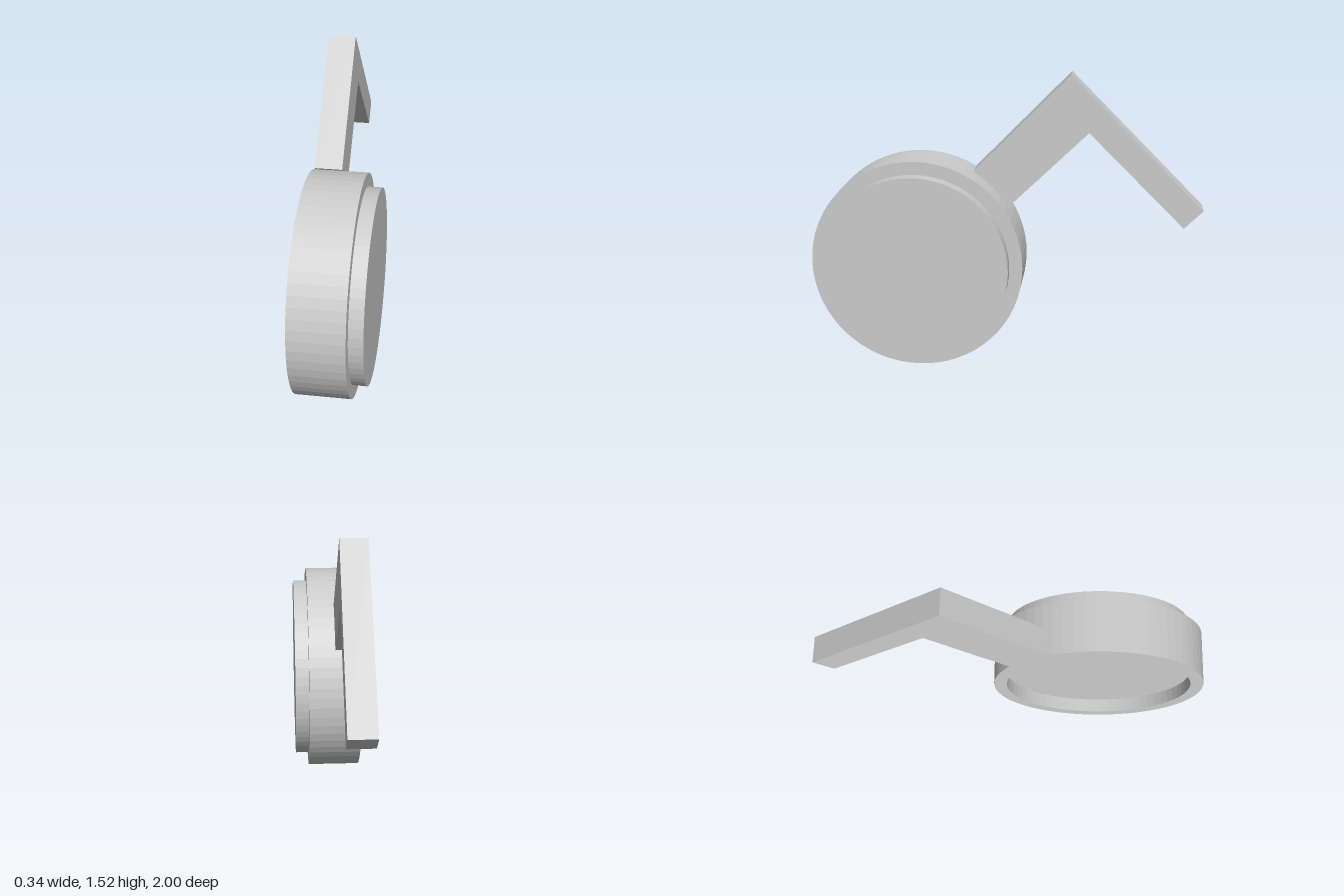
import * as THREE from 'three';

export function createModel() {
  const group = new THREE.Group();
  const material = new THREE.MeshStandardMaterial({ color: 0xcccccc, flatShading: true });
  const add = (name, geometry) => {
    const mesh = new THREE.Mesh(geometry, material);
    mesh.name = name;
    group.add(mesh);
    return mesh;
  };

  // Round cap: recessed on one face, stepped plug on the other
  const R = 0.547, r = 0.48, back = -0.17, front = 0.17, step = 0.07;
  const profile = [
    [0, back + step], [r, back + step], [r, back], [R, back],
    [R, front - step], [r, front - step], [r, front], [0, front],
  ].map(([x, y]) => new THREE.Vector2(x, y));
  const cap = new THREE.LatheGeometry(profile, 64);
  cap.rotateZ(-Math.PI / 2); // lathe axis onto x
  add('cap', cap).position.set(0, R, 0.453);

  // Bent arm: side outline in (z, y), extruded across x
  const outline = [
    [0.17, 1.02], [-0.01, 0.835], [-0.415, 1.23],
    [-0.905, 0.745], [-1, 0.84], [-0.32, 1.52],
  ].map(([z, y]) => new THREE.Vector2(z, y));
  const arm = new THREE.ExtrudeGeometry(new THREE.Shape(outline), { depth: 0.135, bevelEnabled: false });
  arm.rotateY(-Math.PI / 2);
  add('bentArm', arm).position.x = -0.035;

  return group;
}
